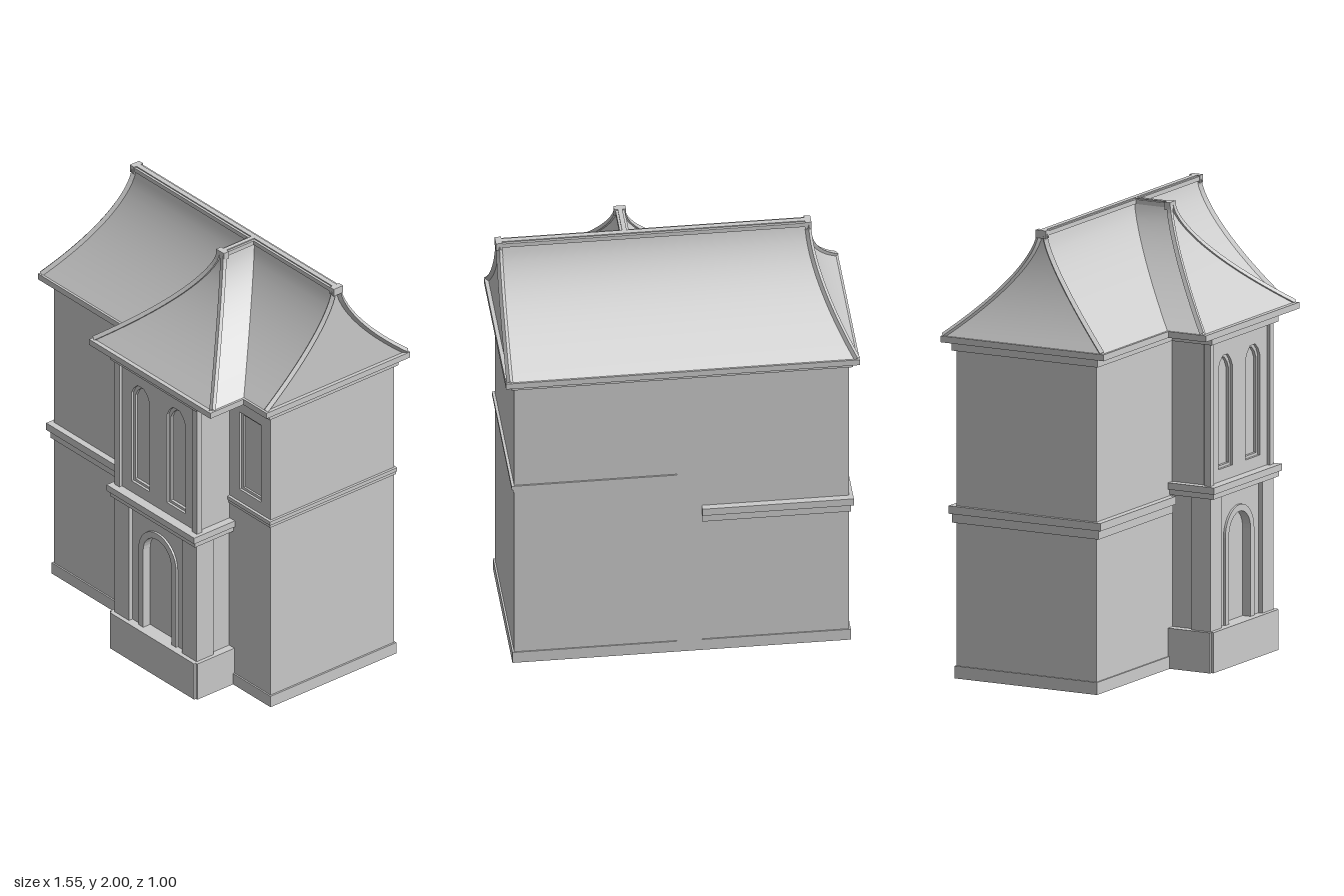
import * as THREE from 'three';

const EAVE = 1.52, RIDGE = 1.985, RIDGE_Z = -0.095;

export function createModel() {
  const model = new THREE.Group();
  const mat = new THREE.MeshStandardMaterial({ color: 0xcccccc, side: THREE.DoubleSide });
  const flat = new THREE.MeshStandardMaterial({ color: 0xcccccc, flatShading: true });

  function add(name, geometry, material = mat) {
    const mesh = new THREE.Mesh(geometry, material);
    mesh.name = name;
    model.add(mesh);
    return mesh;
  }
  // box from its lower and upper limits
  function box(name, x0, x1, y0, y1, z0, z1) {
    const g = new THREE.BoxGeometry(x1 - x0, y1 - y0, z1 - z0);
    g.translate((x0 + x1) / 2, (y0 + y1) / 2, (z0 + z1) / 2);
    return add(name, g);
  }
  // front-facing plate with openings, its face at z1
  function plate(name, outline, holes, z0, z1) {
    const shape = new THREE.Shape(outline);
    for (const h of holes) shape.holes.push(new THREE.Path(h));
    const g = new THREE.ExtrudeGeometry(shape, { depth: z1 - z0, bevelEnabled: false });
    g.translate(0, 0, z0);
    return add(name, g);
  }
  const P = (x, y) => new THREE.Vector2(x, y);
  const rect = (x0, x1, y0, y1) => [P(x0, y0), P(x1, y0), P(x1, y1), P(x0, y1)];
  // opening with a round arched head
  function arch(x0, x1, y0, top, n = 16) {
    const r = (x1 - x0) / 2, pts = [P(x0, y0), P(x1, y0)];
    for (let i = 0; i <= n; i++) {
      const a = Math.PI * i / n;
      pts.push(P((x0 + x1) / 2 + r * Math.cos(a), top - r + r * Math.sin(a)));
    }
    return pts;
  }
  // opening with a flat head and cut corners
  const cutHead = (x0, x1, y0, y1) => [P(x0, y0), P(x1, y0), P(x1, y1 - 0.055), P(x1 - 0.015, y1 - 0.025),
    P(x1 - 0.04, y1), P(x0 + 0.04, y1), P(x0 + 0.015, y1 - 0.025), P(x0, y1 - 0.055)];

  // thin standing walls along a path of [x, z] points, open below
  function skirt(name, path, h) {
    const t = 0.01;
    for (let i = 0; i + 1 < path.length; i++) {
      const [ax, az] = path[i], [bx, bz] = path[i + 1];
      const nx = Math.sign(bz - az) * t, nz = -Math.sign(bx - ax) * t;
      box(name, Math.min(ax, bx, ax - nx), Math.max(ax, bx, ax - nx), 0, h,
        Math.min(az, bz, az - nz), Math.max(az, bz, az - nz));
    }
  }

  // concave roof: rectangular rings [x0, x1, z0, z1] lofted from eave to ridge
  function roof(name, ring, ribCorners, n = 12) {
    const corner = (k, i) => {
      const t = i / n, [x0, x1, z0, z1] = ring(t);
      return new THREE.Vector3(k === 1 || k === 2 ? x1 : x0, EAVE + (RIDGE - EAVE) * t, k < 2 ? z1 : z0);
    };
    for (let k = 0; k < 4; k++) {
      const pos = [], idx = [];
      for (let i = 0; i <= n; i++) {
        pos.push(...corner(k, i).toArray(), ...corner((k + 1) % 4, i).toArray());
        const a = 2 * i;
        if (i < n) idx.push(a, a + 1, a + 3, a, a + 3, a + 2);
      }
      const g = new THREE.BufferGeometry();
      g.setAttribute('position', new THREE.Float32BufferAttribute(pos, 3));
      g.setIndex(idx);
      g.computeVertexNormals();
      add(name + 'Slope', g);
    }
    // raised ribs along the edges
    for (const k of ribCorners) {
      const pts = Array.from({ length: n + 1 }, (_, i) => corner(k, i));
      add(name + 'Rib', new THREE.TubeGeometry(new THREE.CatmullRomCurve3(pts), 20, 0.014, 4), flat);
    }
  }

  // main block
  box('mainWalls', -0.735, 0.73, 0.045, 1.46, -0.445, 0.235);
  box('frontWallLeftPart', -0.735, -0.06, 0.045, 1.46, 0.23, 0.255);
  plate('windowWall', rect(0.44, 0.73, 0.045, 1.46), [rect(0.52, 0.665, 1.0, 1.39)], 0.23, 0.255);
  plate('windowFrame', rect(0.52, 0.665, 1.0, 1.39), [rect(0.533, 0.652, 1.013, 1.377)], 0.23, 0.244);
  skirt('plinth', [[0.475, 0.262], [0.738, 0.262], [0.738, -0.45], [-0.742, -0.45], [-0.742, 0.262], [-0.095, 0.262]]
    .reverse(), 0.055);
  box('rearPilaster', -0.09, 0.018, 0, 1.46, -0.45, -0.43);

  // string courses, each wrapping one end of the house
  box('upperBand', 0.018, 0.735, 0.905, 0.925, -0.45, 0.262);
  box('upperBandLip', 0.018, 0.742, 0.922, 0.94, -0.452, 0.268);
  box('lowerBand', -0.742, -0.09, 0.69, 0.735, -0.462, 0.27);
  box('lowerBandLip', -0.752, -0.09, 0.73, 0.765, -0.475, 0.285);

  // tower porch base, open below
  skirt('porchBase', [[-0.095, 0.25], [-0.095, 0.465], [0.475, 0.465], [0.475, 0.25]], 0.18);
  box('porchFloor', -0.095, 0.475, 0.165, 0.18, 0.23, 0.465);

  // lower tower storey with corner piers and arched door
  box('lowerTowerCore', -0.065, 0.45, 0.18, 0.78, 0.2, 0.405);
  const doorOuter = arch(0.063, 0.317, 0.18, 0.695);
  const doorInner = arch(0.095, 0.285, 0.18, 0.665);
  plate('doorWall', rect(0, 0.38, 0.18, 0.78), [doorOuter], 0.4, 0.435);
  plate('doorSurround', doorOuter, [doorInner], 0.4, 0.445);
  for (const x of [-0.087, 0.37]) box('lowerPier', x, x + 0.098, 0.18, 0.78, 0.36, 0.455);

  // tower band
  box('towerBand', -0.095, 0.48, 0.77, 0.797, 0.2, 0.475);
  box('towerBandLip', -0.105, 0.488, 0.795, 0.825, 0.2, 0.485);

  // upper tower storey with corner posts and twin windows
  box('upperTowerCore', -0.07, 0.453, 0.82, 1.46, 0.2, 0.415);
  const windows = [[0.01, 0.133], [0.25, 0.375]];
  plate('twinWindowWall', rect(-0.06, 0.44, 0.82, 1.46),
    windows.map(([a, b]) => cutHead(a, b, 0.88, 1.38)), 0.41, 0.44);
  for (const [a, b] of windows)
    plate('twinWindowFrame', cutHead(a, b, 0.88, 1.38), [cutHead(a + 0.012, b - 0.012, 0.892, 1.368)], 0.41, 0.428);
  for (const x of [-0.087, 0.437]) box('upperPost', x, x + 0.033, 0.82, 1.46, 0.425, 0.455);

  // cornices and eaves
  box('mainCornice', -0.75, 0.742, 1.455, 1.495, -0.46, 0.27);
  box('towerCornice', -0.1, 0.485, 1.455, 1.495, 0.2, 0.47);
  box('mainEaves', -0.775, 0.772, 1.492, EAVE, -0.5, 0.313);
  box('towerEaves', -0.205, 0.615, 1.492, EAVE, 0.2, 0.5);

  // main roof: hipped on one end, gabled on the other
  const fall = (t, e) => Math.pow(1 - t, e);
  roof('mainRoof', t => {
    const w = 0.385 * fall(t, 1.5) + 0.012;
    return [-0.595 - 0.17 * fall(t, 1.9), 0.755, RIDGE_Z - w, RIDGE_Z + w];
  }, [0, 1, 2, 3]);
  // tower roof: hipped to the front, running back into the main ridge
  roof('towerRoof', t => {
    const w = 0.388 * fall(t, 1.5) + 0.012;
    return [0.205 - w, 0.205 + w, RIDGE_Z, 0.08 + w];
  }, [0, 1]);

  // ridge caps and end blocks
  box('mainRidgeCap', -0.6, 0.765, 1.975, 1.995, -0.118, -0.072);
  box('mainRidgeRoll', -0.6, 0.765, 1.99, 2, -0.107, -0.083);
  box('towerRidgeCap', 0.185, 0.225, 1.975, 1.995, RIDGE_Z, 0.095);
  box('towerRidgeRoll', 0.195, 0.215, 1.99, 2, RIDGE_Z, 0.095);
  for (const [x, z] of [[-0.595, RIDGE_Z], [0.757, RIDGE_Z], [0.205, 0.088]]) {
    const along = z > 0;
    const hx = along ? 0.026 : 0.014, hz = along ? 0.014 : 0.026;
    box('ridgeEndBlock', x - hx, x + hx, 1.965, 2, z - hz, z + hz);
  }
  return model;
}
